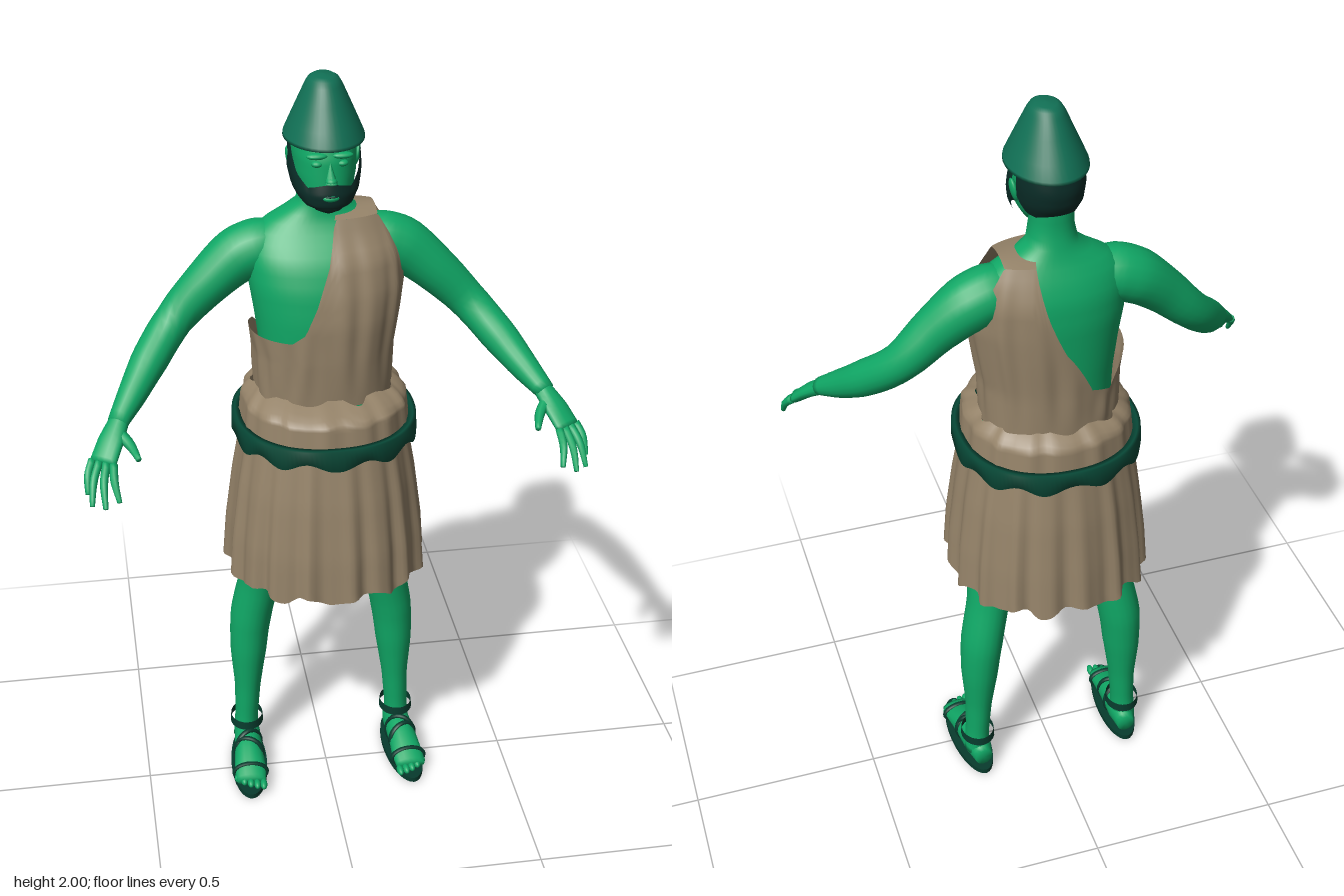
import * as THREE from 'three';

const mat = (name, color, side = THREE.FrontSide) => {
  const m = new THREE.MeshStandardMaterial({ color, side });
  m.name = name;
  return m;
};
const rad = THREE.MathUtils.degToRad;
const lerp = THREE.MathUtils.lerp;

// Linear interpolation in rows sorted by their first entry (rising or falling)
function lookup(rows, k) {
  const s = rows[0][0] < rows[rows.length - 1][0] ? 1 : -1;
  let i = 0;
  while (i < rows.length - 2 && s * k > s * rows[i + 1][0]) i++;
  const a = rows[i], b = rows[i + 1];
  const t = THREE.MathUtils.clamp((k - a[0]) / (b[0] - a[0]), 0, 1);
  return a.map((v, n) => lerp(v, b[n], t));
}

// Surface over a (u, v) grid, optionally closed around u
function grid(fn, nu, nv, closed) {
  const pos = [], idx = [], w = closed ? nu : nu + 1;
  for (let i = 0; i <= nv; i++) for (let j = 0; j < w; j++) pos.push(...fn(j / nu, i / nv, i));
  for (let i = 0; i < nv; i++) for (let j = 0; j < nu; j++) {
    const k = (j + 1) % w;
    const a = i * w + j, b = i * w + k, c = a + w, d = b + w;
    idx.push(a, b, c, b, d, c);
  }
  const g = new THREE.BufferGeometry();
  g.setAttribute('position', new THREE.Float32BufferAttribute(pos, 3));
  g.setIndex(idx);
  g.computeVertexNormals();
  return g;
}

// Point on a body section; rows are [y, half width, front z, back z]
function bodyPoint(rows, y, a, pad = 0) {
  const [, hx, zf, zb] = lookup(rows, y);
  const c = Math.cos(a), s = Math.sin(a);
  return [Math.sign(c) * Math.abs(c) ** 0.9 * (hx + pad), y,
    (zf + zb) / 2 + Math.sign(s) * Math.abs(s) ** 0.9 * ((zf - zb) / 2 + pad)];
}

// Shell following sections between an upper and a lower outline (angles in degrees, 90 = front)
function shell(rows, { from = 0, to = 360, top, bottom, pad = () => 0, nu = 48, nv = 14 }) {
  return grid((u, v) => {
    const d = lerp(from, to, u);
    return bodyPoint(rows, lerp(top(d), bottom(d), v), rad(d), pad(d, v));
  }, nu, nv, to - from === 360);
}

// Rounded limb through points [x, y, z, radius, second radius]
function limb(pts, nv = 20, nu = 14) {
  const curve = new THREE.CatmullRomCurve3(pts.map(p => new THREE.Vector3(p[0], p[1], p[2])));
  const dir = new THREE.Vector3().subVectors(curve.points[pts.length - 1], curve.points[0]).normalize();
  const ref = Math.abs(dir.y) > 0.85 ? new THREE.Vector3(0, 0, 1) : new THREE.Vector3(0, 1, 0);
  const radii = pts.map((p, i) => [i, p[3], p[4] ?? p[3]]);
  return grid((u, v, i) => {
    const t = THREE.MathUtils.clamp((i - 1) / (nv - 2), 0, 1);
    const end = i === 0 || i === nv ? 0 : 1;
    const T = curve.getTangent(t);
    const N = new THREE.Vector3().crossVectors(T, ref).normalize();
    const B = new THREE.Vector3().crossVectors(T, N);
    const [, r, q] = lookup(radii, t * (pts.length - 1));
    const a = u * Math.PI * 2;
    return curve.getPoint(t).addScaledVector(N, Math.cos(a) * r * end)
      .addScaledVector(B, Math.sin(a) * q * end).toArray();
  }, nu, nv, true);
}

export function createModel() {
  const root = new THREE.Group();
  root.name = 'tunicMan';
  const skin = mat('skin green', 0x10a866);
  const cloth = mat('tunic tan', 0x958369, THREE.DoubleSide);
  const hatMat = mat('hat green', 0x117055, THREE.DoubleSide);
  const beltMat = mat('belt green', 0x084a38, THREE.DoubleSide);
  const hairMat = mat('hair dark', 0x0a2c27, THREE.DoubleSide);
  const leather = mat('sandal dark green', 0x073b2d, THREE.DoubleSide);
  const add = (name, geo, material, parent = root) => {
    const m = new THREE.Mesh(geo, material);
    m.name = name;
    parent.add(m);
    return m;
  };
  const ball = (name, x, y, z, sx, sy, sz, material, parent) => {
    const m = add(name, new THREE.SphereGeometry(1, 14, 10), material, parent);
    m.position.set(x, y, z);
    m.scale.set(sx, sy, sz);
    return m;
  };

  // Torso and neck
  const torso = [[1.78, .052, -.02, -.13], [1.71, .053, -.022, -.13], [1.665, .064, -.025, -.14],
    [1.635, .125, -.02, -.15], [1.6, .17, .002, -.168], [1.55, .187, .042, -.185], [1.48, .184, .066, -.19],
    [1.4, .172, .076, -.187], [1.3, .16, .077, -.183], [1.2, .155, .07, -.18], [1.04, .175, .09, -.19]];
  add('torso', shell(torso, { top: () => 1.78, bottom: () => 1.04, nv: 34 }), skin);

  // Bodice slung over the left shoulder
  const bodice = [[1.645, .16, -.005, -.16], [1.6, .182, .017, -.182], [1.55, .197, .055, -.2],
    [1.47, .2, .08, -.204], [1.4, .19, .09, -.204], [1.3, .174, .09, -.2], [1.18, .172, .085, -.2]];
  const neckline = [[0, 1.47], [20, 1.5], [33, 1.6], [38, 1.645], [84, 1.645], [91, 1.53], [98, 1.45], [107, 1.385],
    [118, 1.36], [180, 1.36], [205, 1.345], [230, 1.28], [250, 1.3], [270, 1.42], [280, 1.52], [290, 1.645],
    [322, 1.645], [328, 1.6], [343, 1.5], [360, 1.47]];
  const fold = (d, n, amp) => amp * (Math.sin(rad(d * n)) + 0.4 * Math.sin(rad(d * (n * 2 - 5)) + 1));
  add('bodice', shell(bodice, { top: d => lookup(neckline, d)[1], bottom: () => 1.18, nu: 144, nv: 20,
    pad: (d, v) => 0.003 + fold(d, 14, 0.003) * Math.sin(v * Math.PI) }), cloth);
  add('shoulderStrap', grid((u, v) => {
    const f = bodyPoint(bodice, 1.645, rad(lerp(38, 84, u)), .003);
    const b = bodyPoint(bodice, 1.645, rad(lerp(322, 290, u)), .003);
    return [lerp(b[0], f[0], v), 1.645 + 0.01 * Math.sin(v * Math.PI), lerp(b[2], f[2], v)];
  }, 10, 8, false), cloth);

  // Gathered cloth above the belt
  const peplum = [[1.205, .168, .083, -.198], [1.19, .19, .13, -.225], [1.172, .207, .17, -.246], [1.08, .217, .18, -.255]];
  add('waistGathers', shell(peplum, { top: d => 1.2 + fold(d, 9, 0.004), bottom: () => 1.08, nu: 120, nv: 12,
    pad: d => fold(d, 16, 0.003) }), cloth);

  // Pleated skirt
  const skirt = [[1.1, .207, .17, -.248], [.95, .232, .197, -.272], [.8, .25, .216, -.288], [.67, .258, .224, -.298]];
  add('skirt', shell(skirt, { top: () => 1.1, bottom: d => 0.69 + fold(d, 11, 0.01), nu: 160, nv: 16,
    pad: (d, v) => fold(d, 18, 0.002 + 0.006 * v) }), cloth);

  // Belt with a scalloped lower edge
  const beltRow = [[1.13, .222, .187, -.263], [1.05, .222, .187, -.263]];
  const beltProfile = [[1, .004], [1, .012], [0, .014], [0, -.008], [1, -.008], [1, .004]];
  add('belt', grid((u, v, i) => {
    const [up, pad] = beltProfile[i];
    const low = 1.073 + 0.011 * Math.sin(u * Math.PI * 22);
    return bodyPoint(beltRow, up ? 1.118 : low, u * Math.PI * 2, pad);
  }, 132, 5, true), beltMat);

  // Head
  const head = new THREE.Group();
  head.name = 'head';
  root.add(head);
  const skull = [[1.9, .06, .03, -.11], [1.86, .074, .058, -.138], [1.82, .077, .07, -.145], [1.78, .075, .072, -.138],
    [1.74, .066, .074, -.11], [1.71, .05, .068, -.075], [1.692, .015, .04, -.03]];
  add('face', shell(skull, { top: () => 1.9, bottom: () => 1.692, nv: 24 }), skin, head);
  const nose = add('nose', new THREE.ConeGeometry(.016, .052, 10), skin, head);
  nose.position.set(0, 1.796, .077);
  nose.rotation.x = -0.3;
  ball('noseTip', 0, 1.779, .084, .014, .01, .014, skin, head);
  for (const s of [-1, 1]) {
    ball('brow', s * .03, 1.834, .06, .026, .008, .013, skin, head);
    ball('eye', s * .03, 1.815, .06, .014, .008, .012, skin, head);
    const ear = ball('ear', s * .08, 1.795, -.045, .009, .03, .019, skin, head);
    ear.rotation.z = -s * 0.2;
  }

  // Hair and beard
  const nape = [[195, 1.79], [215, 1.755], [270, 1.735], [325, 1.755], [345, 1.79]];
  add('hair', shell(skull, { from: 195, to: 345, top: () => 1.875, bottom: d => lookup(nape, d)[1], nv: 10,
    pad: (d, v) => 0.011 - 0.004 * v }), hairMat, head);
  const cheek = [[0, 1.84], [12, 1.835], [28, 1.785], [50, 1.757], [72, 1.765], [90, 1.77]];
  add('beard', shell(skull, { from: -4, to: 184, top: d => lookup(cheek, Math.max(0, 90 - Math.abs(90 - d)))[1],
    bottom: d => 1.688 + 0.04 * Math.abs(Math.cos(rad(d))) ** 3, nv: 12,
    pad: (d, v) => 0.004 + 0.01 * Math.sin(Math.min(1, v + 0.2) * Math.PI / 2) }), hairMat, head);
  ball('beardChin', 0, 1.712, .035, .043, .024, .046, hairMat, head);
  ball('mouth', 0, 1.736, .079, .021, .009, .012, skin, head);
  ball('lipLine', 0, 1.742, .089, .015, .0025, .004, hairMat, head);

  // Tall conical hat
  const hatProfile = [[0, 1.865], [.086, 1.85], [.097, 1.852], [.096, 1.86], [.083, 1.89], [.061, 1.94], [.044, 1.978],
    [.036, 1.991], [.025, 1.998], [0, 2]].map(p => new THREE.Vector2(...p));
  const hat = add('hat', new THREE.LatheGeometry(hatProfile, 40), hatMat, head);
  hat.position.z = -.035;
  hat.scale.z = 1.29;

  for (const s of [-1, 1]) {
    const side = s > 0 ? 'left' : 'right';
    const m = pts => pts.map(([x, ...rest]) => [s * x, ...rest]);

    // Arm and hand
    add(side + 'Arm', limb(m([[.1, 1.56, -.085, .06], [.155, 1.555, -.085, .07], [.205, 1.535, -.085, .07],
      [.28, 1.475, -.075, .059], [.37, 1.385, -.058, .048], [.44, 1.31, .01, .046], [.49, 1.255, .08, .036],
      [.53, 1.215, .14, .026, .023]]), 32, 18), skin);
    add(side + 'Palm', limb(m([[.522, 1.222, .128, .024, .021], [.55, 1.185, .175, .034, .018],
      [.573, 1.148, .212, .036, .015]]), 12), skin);
    const tips = [[.614, 1.085, .248], [.606, 1.07, .28], [.575, 1.075, .306], [.541, 1.088, .302]];
    tips.forEach(([x, y, z], i) => {
      const k = i / 3;
      const a = [lerp(.597, .548, k), 1.15, lerp(.195, .228, k)];
      add(side + 'Finger', limb(m([[...a, .0105], [(a[0] + x) / 2 + .005, (a[1] + y) / 2 + .006, (a[2] + z) / 2, .01],
        [x, y, z, .006]]), 9, 8), skin);
    });
    add(side + 'Thumb', limb(m([[.533, 1.2, .155, .016], [.505, 1.183, .195, .013], [.488, 1.168, .245, .007]]), 9, 8), skin);

    // Leg
    add(side + 'Leg', limb(m([[.1, 1.08, -.05, .095], [.12, .9, -.05, .09, .095], [.15, .7, -.058, .066, .072],
      [.172, .58, -.075, .056, .064], [.195, .46, -.088, .056, .066], [.204, .35, -.088, .05, .06],
      [.209, .23, -.086, .036, .046], [.214, .13, -.085, .032, .04], [.218, .05, -.085, .034, .042]]), 40, 20), skin);

    // Foot with toes
    const foot = new THREE.Group();
    foot.name = side + 'Foot';
    foot.position.set(s * .219, 0, -.004);
    foot.rotation.y = s * 0.06;
    root.add(foot);
    add('footBody', limb([[0, .048, -.132, .024, .03], [0, .055, -.08, .036, .046], [0, .05, 0, .039, .04],
      [0, .036, .07, .044, .026], [0, .028, .108, .04, .016]], 18, 16), skin, foot);
    for (let i = 0; i < 5; i++)
      ball('toe', s * (i * .0175 - .034), .026, .121 - i * i * .002, .0095, .011, .02 - i * .0015, skin, foot);

    // Sandal
    const sole = add('sandalSole', new THREE.CylinderGeometry(1, 1, .014, 32), leather, foot);
    sole.scale.set(.05, 1, .149);
    sole.position.y = .007;
    const cuff = add('ankleStrap', new THREE.CylinderGeometry(.044, .046, .024, 24, 1, true), leather, foot);
    cuff.position.set(0, .112, -.081);
    cuff.scale.z = 1.15;
    for (const [y, z, w, h, tilt] of [[.034, .075, .046, .03, 0], [.052, .005, .041, .044, .35], [.052, -.02, .041, .05, -.5]]) {
      const strap = add('footStrap', new THREE.TorusGeometry(1, .11, 8, 28), leather, foot);
      strap.position.set(0, y, z);
      strap.scale.set(w, h, .07);
      strap.rotation.y = tilt * s;
    }
  }
  return root;
}
